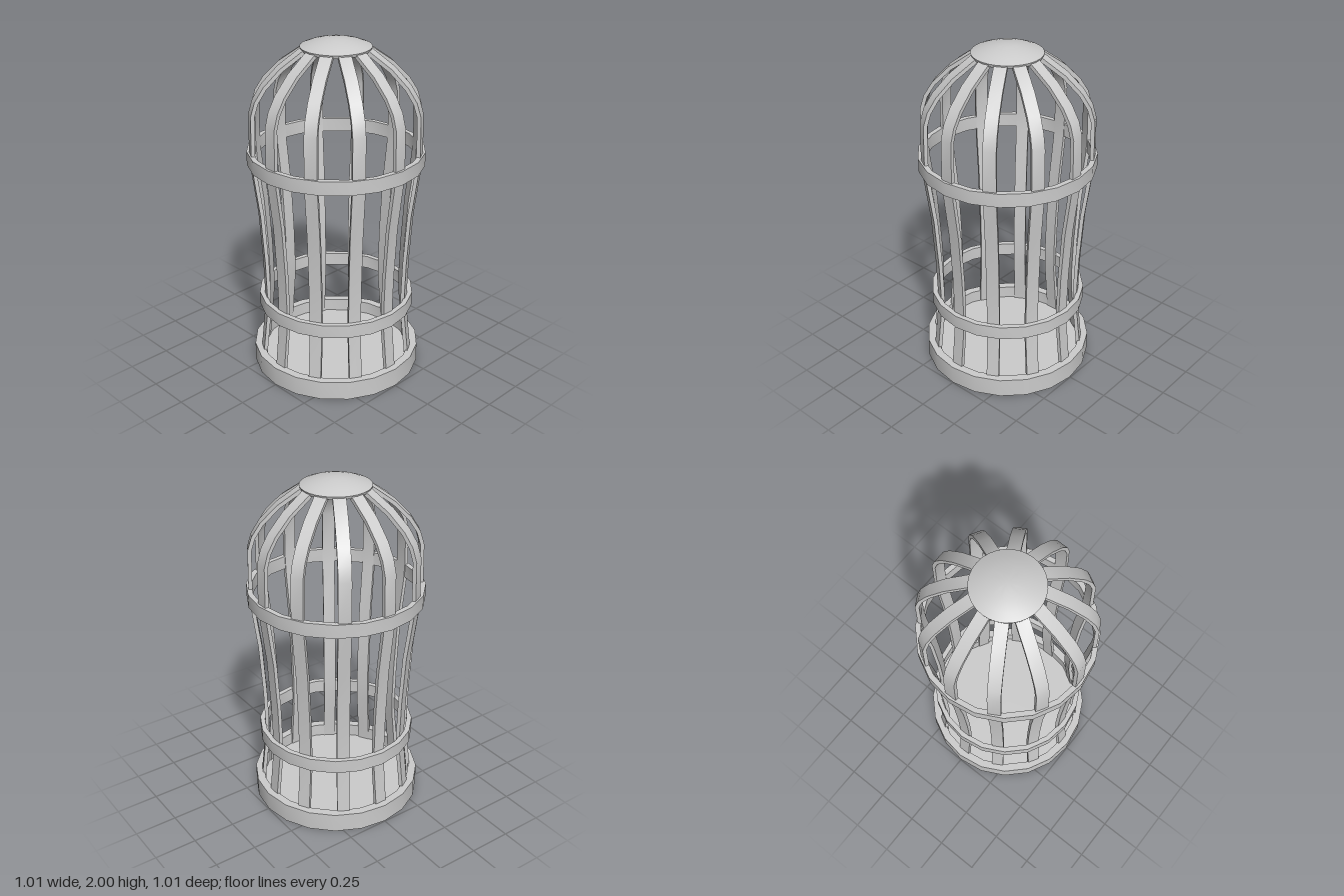
import * as THREE from 'three';
import { toCreasedNormals } from 'three/addons/utils/BufferGeometryUtils.js';

const SIDES = 20;
const BARS = 12;
const BAR_WIDTH = 0.072;
const BAR_THICKNESS = 0.022;

export function createModel() {
  const model = new THREE.Group();
  model.name = 'birdcage';
  const grey = new THREE.MeshStandardMaterial({ color: 0xcccccc });

  function add(name, geometry, parent = model) {
    const mesh = new THREE.Mesh(geometry, grey);
    mesh.name = name;
    parent.add(mesh);
    return mesh;
  }

  // Closed band of rectangular section, turned around the y axis
  function band(inner, outer, bottom, top) {
    const profile = [[inner, bottom], [outer, bottom], [outer, top], [inner, top], [inner, bottom]]
      .map(([r, y]) => new THREE.Vector2(r, y));
    return toCreasedNormals(new THREE.LatheGeometry(profile, SIDES), 0.35);
  }

  // Base tray and hoops
  add('baseRim', band(0.45, 0.497, 0, 0.115));
  add('floor', new THREE.CylinderGeometry(0.455, 0.455, 0.015, SIDES)).position.y = 0.03;
  add('lowerHoop', band(0.428, 0.458, 0.39, 0.47));
  add('upperHoop', band(0.475, 0.505, 1.29, 1.37));

  // Bar: outer edge as (radius, height), offset inwards for the thickness
  const outer = [
    [0.462, 0.025], [0.456, 0.115], [0.43, 0.36], [0.427, 0.5], [0.432, 0.7], [0.45, 1.0],
    [0.484, 1.27], [0.49, 1.38], [0.486, 1.6], [0.462, 1.68], [0.412, 1.76],
    [0.32, 1.855], [0.19, 1.948], [0.15, 1.96],
  ].map(([r, y]) => new THREE.Vector2(r, y));
  const inner = outer.map((p, i) => {
    const before = outer[Math.max(i - 1, 0)];
    const after = outer[Math.min(i + 1, outer.length - 1)];
    const along = after.clone().sub(before).normalize();
    return new THREE.Vector2(p.x - along.y * BAR_THICKNESS, p.y + along.x * BAR_THICKNESS);
  });
  const barShape = new THREE.Shape([...outer, ...inner.reverse()]);
  let barGeometry = new THREE.ExtrudeGeometry(barShape, { depth: BAR_WIDTH, bevelEnabled: false });
  barGeometry.translate(0, 0, -BAR_WIDTH / 2);
  barGeometry = toCreasedNormals(barGeometry, 0.7);

  const bars = new THREE.Group();
  bars.name = 'bars';
  model.add(bars);
  for (let i = 0; i < BARS; i++) {
    add('bar', barGeometry, bars).rotation.y = (i / BARS) * Math.PI * 2;
  }

  // Shallow domed cap
  const capProfile = [[0, 1.937], [0.193, 1.937], [0.198, 1.954], [0.15, 1.973], [0.1, 1.987], [0.05, 1.996], [0, 2]]
    .map(([r, y]) => new THREE.Vector2(r, y));
  add('cap', toCreasedNormals(new THREE.LatheGeometry(capProfile, 32), 0.6));

  return model;
}
